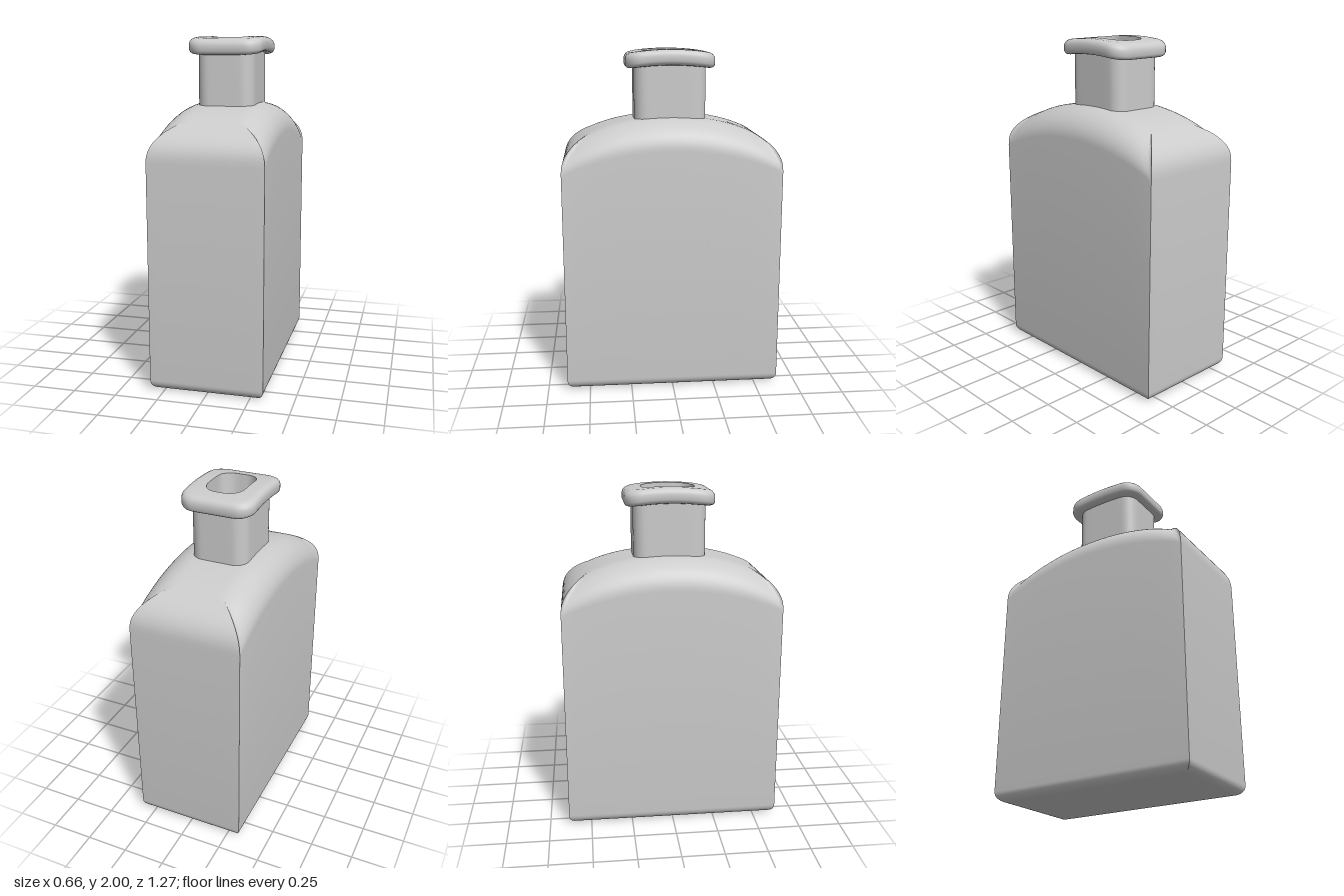
import * as THREE from 'three';
import { toCreasedNormals } from 'three/addons/utils/BufferGeometryUtils.js';

const HX = 0.33, HZ = 0.635; // body half width and half depth
const WALL = 1.31, BASE_R = 0.06, ROUND = 0.2;

// Skin a list of closed rings (equal point counts), ordered so faces look outward
function loft(rings, crease) {
  const n = rings[0].length, index = [];
  for (let k = 0; k < rings.length - 1; k++) {
    for (let i = 0; i < n; i++) {
      const j = (i + 1) % n;
      const a = k * n + i, b = k * n + j, c = a + n, d = b + n;
      index.push(a, c, d, a, d, b);
    }
  }
  const geo = new THREE.BufferGeometry().setFromPoints(rings.flat());
  geo.setIndex(index);
  return toCreasedNormals(geo, crease);
}

// Sharp-cornered ring inset by d; height(t, z) runs along the broad sides, t = -1..1
function boxRing(d, height) {
  const pts = [], hx = HX - d, hz = HZ - d, NS = 40, NE = 12;
  for (const s of [1, -1]) {
    for (let i = 0; i < NS; i++) {
      const t = s * Math.sin((i / NS - 0.5) * Math.PI);
      pts.push(new THREE.Vector3(s * hx, height(t, t * hz), t * hz));
    }
    for (let i = 0; i < NE; i++) {
      pts.push(new THREE.Vector3(s * hx * (1 - 2 * i / NE), height(s, s * hz), s * hz));
    }
  }
  return pts;
}

// Rounded-rectangle ring, sagging toward front and back by bend * z^2
function roundRing(hx, hz, r, y, bend = 0) {
  const pts = [], CORNER = 8, EDGE = 6;
  const corners = [[1, 1], [-1, 1], [-1, -1], [1, -1]];
  corners.forEach(([sx, sz], c) => {
    for (let i = 0; i <= CORNER; i++) {
      const a = (c + i / CORNER) * Math.PI / 2;
      pts.push(new THREE.Vector3(sx * (hx - r) + r * Math.cos(a), 0, sz * (hz - r) + r * Math.sin(a)));
    }
    const from = pts[pts.length - 1];
    const [nx, nz] = corners[(c + 1) % 4];
    const a = (c + 1) * Math.PI / 2;
    const to = new THREE.Vector3(nx * (hx - r) + r * Math.cos(a), 0, nz * (hz - r) + r * Math.sin(a));
    for (let i = 1; i < EDGE; i++) pts.push(from.clone().lerp(to, i / EDGE));
  });
  for (const p of pts) p.y = y - bend * p.z * p.z;
  return pts;
}

// Shoulder arch across the depth, and the lower curved top edge of the broad walls
const arch = z => WALL + 0.305 * Math.pow(Math.max(0, 1 - (z / HZ) ** 2), 0.42);
const rim = t => WALL + 0.13 * (1 - t * t);

function bodyGeometry() {
  const rings = [boxRing(HX, () => 0)];
  // rounded base edge
  for (let i = 0; i <= 8; i++) {
    const a = i / 8 * Math.PI / 2;
    rings.push(boxRing(BASE_R * (1 - Math.sin(a)), () => BASE_R * (1 - Math.cos(a))));
  }
  // shoulder, rolling inward from the wall tops to the ridge
  const shoulder = d => {
    const q = Math.sqrt(1 - Math.max(0, 1 - d / ROUND) ** 2);
    rings.push(boxRing(d, (t, z) => arch(z) - (arch(HZ * t) - rim(t)) * (1 - q)));
  };
  for (let i = 0; i <= 14; i++) shoulder(ROUND * (1 - Math.cos(i / 14 * Math.PI / 2)));
  for (let i = 1; i <= 4; i++) shoulder(ROUND + (HX - ROUND) * i / 4);
  return loft(rings, 0.7);
}

export function createModel() {
  const group = new THREE.Group();
  const material = new THREE.MeshStandardMaterial({ color: 0xcccccc });
  const add = (name, geometry) => {
    const mesh = new THREE.Mesh(geometry, material);
    mesh.name = name;
    group.add(mesh);
  };

  add('body', bodyGeometry());

  add('neck', loft([
    roundRing(0.168, 0.21, 0.075, 1.55),
    roundRing(0.168, 0.21, 0.075, 1.92, 0.35),
  ], 0.7));

  // lip: [inset, height] around the rolled edge, then down the inside of the mouth
  const BEND = 0.35;
  const lip = [
    [0.055, 1.912], [0.03, 1.911], [0.017, 1.914], [0.006, 1.922], [0, 1.936], [0, 1.967],
    [0.004, 1.981], [0.013, 1.992], [0.026, 1.998], [0.042, 2],
  ].map(([d, y]) => roundRing(0.218 - d, 0.26 - d, 0.095 - d * 0.6, y, BEND));
  lip.push(
    roundRing(0.112, 0.156, 0.085, 2, BEND),
    roundRing(0.112, 0.138, 0.085, 1.59),
  );
  add('lip', loft(lip, 0.7));

  return group;
}
